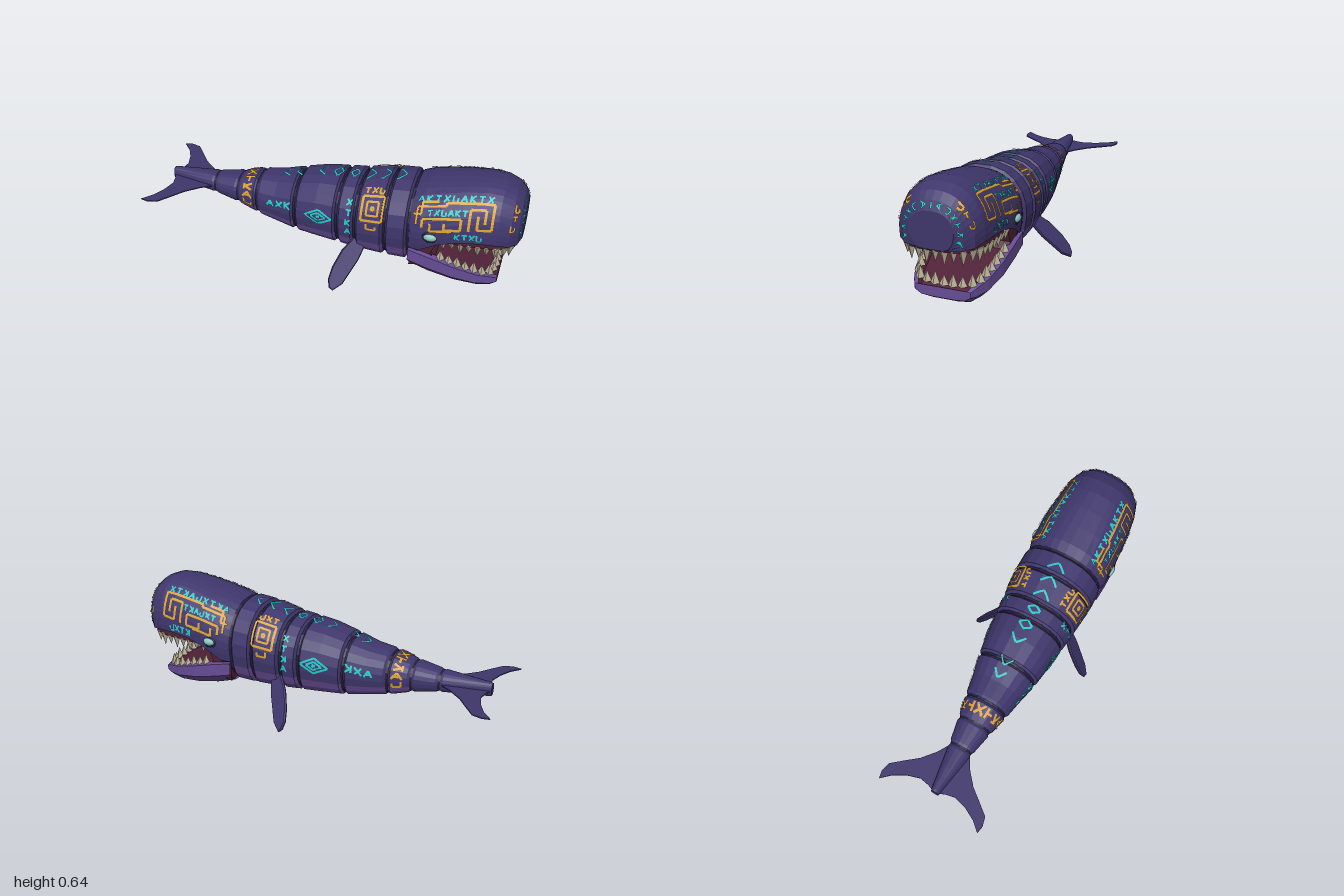
import * as THREE from 'three';

const mat = (name, color) => new THREE.MeshStandardMaterial({ name, color, side: THREE.DoubleSide });
const rad = THREE.MathUtils.degToRad;

// Body profile: x, top, bottom, half width
const BODY = [
  [-0.93, 0.355, 0.285, 0.022], [-0.67, 0.37, 0.262, 0.065], [-0.53, 0.393, 0.235, 0.093],
  [-0.41, 0.425, 0.198, 0.12], [-0.3, 0.44, 0.175, 0.142], [-0.185, 0.47, 0.157, 0.167],
  [-0.06, 0.503, 0.145, 0.188], [0.055, 0.515, 0.14, 0.2], [0.155, 0.525, 0.133, 0.21],
  [0.315, 0.56, 0.13, 0.226], [0.44, 0.572, 0.13, 0.224], [0.5, 0.585, 0.13, 0.23],
  [0.6, 0.606, 0.17, 0.232], [0.7, 0.625, 0.17, 0.226], [0.8, 0.64, 0.17, 0.216],
  [0.88, 0.637, 0.2, 0.205], [0.94, 0.613, 0.22, 0.185], [0.975, 0.58, 0.28, 0.15], [0.994, 0.535, 0.35, 0.108],
];
// Upper lip height and lower jaw profile (x, top, bottom, half width)
const LIP = [[0.445, 0.265], [0.52, 0.28], [0.58, 0.33], [0.65, 0.36], [0.75, 0.38], [0.9, 0.375], [0.994, 0.354]];
const JAW = [
  [0.445, 0.27, 0.135, 0.216], [0.55, 0.245, 0.1, 0.216], [0.68, 0.205, 0.072, 0.21],
  [0.8, 0.165, 0.056, 0.187], [0.87, 0.145, 0.058, 0.158], [0.9, 0.13, 0.077, 0.14],
];

function sample(table, x) {
  let i = 0;
  while (i < table.length - 2 && x > table[i + 1][0]) i++;
  const a = table[i], b = table[i + 1], t = (x - a[0]) / (b[0] - a[0]);
  return a.map((v, k) => v + (b[k] - v) * t);
}

// Point on the body skin; angle 0 is the +z flank, 90 degrees the back ridge; the underside is boxier
function skinPoint(x, angle, k = 1) {
  const [, top, bot, w] = sample(BODY, x), c = Math.cos(angle), s = Math.sin(angle);
  return new THREE.Vector3(x, (top + bot) / 2 + k * (top - bot) / 2 * s,
    k * w * Math.sign(c) * Math.abs(c) ** (s < 0 ? 0.55 : 0.85));
}

function flat(points) {
  const g = new THREE.BufferGeometry().setFromPoints(points);
  g.computeVertexNormals();
  return g;
}

// Skin over rows of points, with an optional flat cap on the last row
function loft(rows, cap = false) {
  const p = [];
  for (let i = 0; i < rows.length - 1; i++) for (let j = 0; j < rows[i].length - 1; j++) {
    const a = rows[i][j], b = rows[i + 1][j], c = rows[i + 1][j + 1], d = rows[i][j + 1];
    p.push(a, b, c, a, c, d);
  }
  const end = rows.at(-1);
  if (cap) for (let j = 1; j < end.length - 1; j++) p.push(end[0], end[j], end[j + 1]);
  return flat(p);
}

const arcRow = (x, a0, a1, n, k) => Array.from({ length: n + 1 }, (_, j) => skinPoint(x, a0 + (a1 - a0) * j / n, k));

// Painted strokes: thin ribbons that follow the skin; points are [x, degrees]
function stroke(out, pts, width = 0.011) {
  for (let i = 0; i < pts.length - 1; i++) {
    const edge = [];
    for (let s = 0; s <= 4; s++) {
      const t = s / 4, x = THREE.MathUtils.lerp(pts[i][0], pts[i + 1][0], t);
      const a = rad(THREE.MathUtils.lerp(pts[i][1], pts[i + 1][1], t));
      const at = skinPoint(x, a), e = 0.002;
      const dx = skinPoint(x + e, a).sub(skinPoint(x - e, a)), da = skinPoint(x, a + e).sub(skinPoint(x, a - e));
      const n = dx.clone().cross(da).normalize();
      const dir = dx.multiplyScalar((pts[i + 1][0] - pts[i][0]) / (2 * e))
        .addScaledVector(da, rad(pts[i + 1][1] - pts[i][1]) / (2 * e));
      const side = n.clone().cross(dir).normalize().multiplyScalar(width / 2);
      at.addScaledVector(n, 0.005);
      edge.push([at.clone().sub(side), at.clone().add(side)]);
    }
    for (let s = 0; s < 4; s++) {
      const [a, d] = edge[s], [b, c] = edge[s + 1];
      out.push(a, b, c, a, c, d);
    }
  }
}
const both = (out, pts, width) => {
  stroke(out, pts, width);
  stroke(out, pts.map(([x, a]) => [x, 180 - a]), width);
};

// Abstract angular marks in a unit square
const MARKS = [
  [[[-0.5, -0.5], [0, 0.5], [0.5, -0.5]], [[-0.2, -0.1], [0.3, -0.1]]],
  [[[-0.4, -0.5], [-0.4, 0.5]], [[0.4, 0.5], [-0.3, 0], [0.4, -0.5]]],
  [[[-0.5, 0.4], [0.5, 0.4]], [[0, 0.4], [0, -0.5]]],
  [[[-0.5, -0.5], [0.5, 0.5]], [[-0.4, 0.5], [0, 0], [0.4, -0.4]]],
  [[[-0.4, 0.5], [-0.4, -0.5], [0.4, -0.5], [0.4, 0.1]]],
];
function mark(out, i, x, angle, sx, sa, width = 0.009) {
  for (const line of MARKS[i % MARKS.length]) both(out, line.map(([u, v]) => [x + u * sx, angle + v * sa]), width);
}
const diamond = (x, a, sx, sa) => [[x - sx, a], [x, a + sa], [x + sx, a], [x, a - sa], [x - sx, a]];
const frame = (x, a, sx, sa) => [[x - sx, a - sa], [x - sx, a + sa], [x + sx, a + sa], [x + sx, a - sa], [x - sx, a - sa]];

export function createModel() {
  const model = new THREE.Group();
  const skin = mat('indigo skin', 0x3f366c), belly = mat('violet belly', 0x664c95), groove = mat('dark groove', 0x211c3a);
  const gum = mat('maroon mouth', 0x512137), ivory = mat('ivory teeth', 0xbdb299);
  const teal = mat('teal markings', 0x25c9c4), gold = mat('gold markings', 0xd99f2c), eyeMat = mat('pale eye', 0x8cc8c0);
  const add = (name, geo, m, parent = model) => {
    const mesh = new THREE.Mesh(geo, m);
    mesh.name = name;
    parent.add(mesh);
    return mesh;
  };

  // Banded body: dark core showing in the gaps between plated segments
  add('bodyCore', loft(BODY.filter(s => s[0] < 0.52).map(s => arcRow(s[0], 0, Math.PI * 2, 20, 0.94))), groove);
  const cuts = [-0.936, -0.67, -0.53, -0.41, -0.185, 0.055, 0.155, 0.315, 0.44];
  for (let i = 0; i < cuts.length - 1; i++) {
    const x0 = cuts[i] + 0.006, x1 = cuts[i + 1] - 0.006;
    const inner = BODY.map(s => s[0]).filter(x => x > x0 + 0.02 && x < x1 - 0.02);
    const xs = [[x0, 0.94], [x0 + 0.012, 1.01], ...inner.map(x => [x, 1]), [x1 - 0.012, 1.01], [x1, 0.94]];
    add('bodySegment', loft(xs.map(([x, k]) => arcRow(x, rad(-24), rad(204), 13, k))), skin);
    add('bellySegment', loft(xs.map(([x, k]) => arcRow(x, rad(204), rad(336), 8, k))), i < 2 ? skin : belly);
  }
  add('tailEnd', loft([arcRow(-0.925, 0, Math.PI * 2, 12, 0.01), arcRow(-0.93, 0, Math.PI * 2, 12, 0.95)]), skin);

  // Upper head, cut off along the lip
  const headRows = [0.447, ...BODY.map(s => s[0]).filter(x => x > 0.45)].map((x, i) => {
    const [, top, bot] = sample(BODY, x);
    const a = Math.asin(((top + bot) / 2 - sample(LIP, x)[1]) / ((top - bot) / 2));
    return arcRow(x, -a, Math.PI + a, 22, i === 0 ? 0.96 : 1);
  });
  add('upperHead', loft(headRows, true), skin);

  // Upper gum and palate
  const plan = [[0.5, 0.2], [0.7, 0.208], [0.85, 0.195], [0.93, 0.168], [0.965, 0.12], [0.978, 0.06]];
  const gumShape = new THREE.Shape([...plan, ...plan.slice().reverse().map(([x, z]) => [x, -z])].map(p => new THREE.Vector2(...p)));
  const gumGeo = new THREE.ExtrudeGeometry(gumShape, { depth: 0.05, bevelEnabled: false }).rotateX(Math.PI / 2);
  add('upperGum', gumGeo.translate(0, 0.392, 0), gum);

  // Throat and cheeks behind the open mouth
  const throat = new THREE.Shape([[0.45, 0.15], [0.6, 0.19], [0.56, 0.25], [0.585, 0.31], [0.68, 0.37], [0.45, 0.37]]
    .map(p => new THREE.Vector2(...p)));
  add('throat', new THREE.ExtrudeGeometry(throat, { depth: 0.39, bevelEnabled: false }).translate(0, 0, -0.195), gum);

  // Lower jaw trough with a maroon floor
  const jawSection = [[0.86, 1], [1, 0.94], [1, 0.45], [0.78, 0.08], [0.4, 0]];
  const jawRows = JAW.map(([x, top, bot, w]) => {
    const half = jawSection.map(([u, v]) => new THREE.Vector3(x, bot + (top - bot) * v, -w * u));
    return [...half, ...half.slice().reverse().map(p => new THREE.Vector3(p.x, p.y, -p.z))];
  });
  add('lowerJaw', loft(jawRows, true), belly);
  add('mouthFloor', loft(JAW.map(([x, top, , w]) =>
    [[0.87, 0], [0.75, -0.018], [-0.75, -0.018], [-0.87, 0]].map(([u, d]) => new THREE.Vector3(x, top + d, w * u)))), gum);

  // Rows of pointed teeth
  function teeth(name, half, count, length, dir) {
    const pts = [...half, ...half.slice(0, -1).reverse().map(([x, y, z]) => [x, y, -z])].map(p => new THREE.Vector3(...p));
    const row = new THREE.Group();
    row.name = name;
    new THREE.CatmullRomCurve3(pts).getSpacedPoints(count - 1).forEach((p, i) => {
      const len = length * (0.8 + 0.2 * Math.sin(Math.PI * i / (count - 1))) * (i % 2 ? 0.85 : 1.05);
      const cone = new THREE.ConeGeometry(0.024, len, 4).toNonIndexed();
      cone.computeVertexNormals();
      const tooth = add('tooth', cone, ivory, row);
      tooth.position.set(p.x, p.y + dir * len / 2, p.z);
      if (dir < 0) tooth.rotation.x = Math.PI;
    });
    model.add(row);
  }
  teeth('upperTeeth', [[0.62, 0.35, 0.195], [0.8, 0.35, 0.188], [0.92, 0.35, 0.158], [0.955, 0.35, 0.085], [0.962, 0.35, 0]], 23, 0.078, -1);
  teeth('lowerTeeth', [[0.61, 0.222, 0.187], [0.75, 0.176, 0.172], [0.85, 0.145, 0.14], [0.875, 0.138, 0.075], [0.88, 0.137, 0]], 19, 0.062, 1);

  for (const s of [1, -1]) {
    // Eye in a dark socket
    const socket = add('eyeSocket', new THREE.SphereGeometry(1, 10, 8), groove);
    socket.scale.set(0.044, 0.031, 0.012);
    socket.position.set(0.555, 0.372, s * 0.226);
    const eye = add('eye', new THREE.SphereGeometry(1, 10, 8), eyeMat);
    eye.scale.set(0.036, 0.022, 0.021);
    eye.position.set(0.558, 0.376, s * 0.227);

    // Paddle fin slanting down, out and back, twisted about its length
    const outline = [[0, -0.03], [0.1, -0.05], [0.2, -0.047], [0.265, -0.032], [0.298, -0.008], [0.302, 0.012], [0.25, 0.036], [0.1, 0.042], [0, 0.03]];
    const finGeo = new THREE.ExtrudeGeometry(new THREE.Shape(outline.map(p => new THREE.Vector2(...p))),
      { depth: 0.006, bevelThickness: 0.006, bevelSize: 0.005, bevelSegments: 1 }).translate(0, 0, -0.003);
    const a = new THREE.Vector3(-0.1, -0.2, s * 0.16).normalize();
    const b = new THREE.Vector3(1, 0, 0).addScaledVector(a, -a.x).normalize().applyAxisAngle(a, -s * rad(20));
    finGeo.applyMatrix4(new THREE.Matrix4().makeBasis(a, b, a.clone().cross(b)).setPosition(0.187, 0.233, s * 0.168));
    add(s > 0 ? 'rightFin' : 'leftFin', finGeo, skin);
  }

  // Tail flukes
  const fluke = [[-0.68, 0.06], [-0.74, 0.095], [-0.81, 0.155], [-0.865, 0.225], [-0.91, 0.28], [-0.96, 0.293], [-1, 0.285],
    [-0.955, 0.235], [-0.92, 0.17], [-0.9, 0.1], [-0.91, 0.05]];
  const flukeShape = new THREE.Shape([...fluke, [-0.93, 0], ...fluke.slice().reverse().map(([x, z]) => [x, -z])].map(p => new THREE.Vector2(...p)));
  add('tailFlukes', new THREE.ExtrudeGeometry(flukeShape, { depth: 0.006, bevelEnabled: false })
    .rotateX(Math.PI / 2).translate(0, 0.318, 0), skin);

  // Teal markings: ridge chevrons, flank marks, diamonds, head rows and nose ring
  const t = [], g = [];
  for (const [x, d] of [[-0.26, -1], [-0.19, -1], [-0.065, -1], [0.2, 1], [0.28, 1], [0.36, 1]])
    stroke(t, [[x - d * 0.02, 81], [x + d * 0.02, 90], [x - d * 0.02, 99]]);
  stroke(t, diamond(0.02, 90, 0.025, 8));
  stroke(t, diamond(0.11, 90, 0.022, 7));
  for (let i = 0; i < 3; i++) mark(t, i * 3, -0.32 + i * 0.052, 11 + i * 2, 0.04, 15, 0.011);
  both(t, diamond(-0.04, 6, 0.075, 13));
  both(t, diamond(-0.04, 6, 0.042, 7));
  both(t, diamond(-0.04, 6, 0.01, 2));
  for (let i = 0; i < 4; i++) mark(t, i, 0.127, -8 + i * 16, 0.032, 10);
  for (let i = 0; i < 9; i++) mark(t, i, 0.49 + i * 0.042, 54, 0.028, 9);
  for (let i = 0; i < 6; i++) mark(t, i + 2, 0.545 + i * 0.034, 35, 0.025, 8);
  for (let i = 0; i < 4; i++) mark(t, i + 1, 0.69 + i * 0.035, 2.5, 0.028, 9);
  for (let i = 0; i < 6; i++) mark(t, i, 0.983, -16 + i * 18.5, 0.013, 10, 0.008);
  stroke(t, [[0.978, 90], [0.99, 90]], 0.008);
  add('tealMarkings', flat(t), teal);

  // Gold markings: tail band, flank squares, head maze and brow
  for (let i = 0; i < 5; i++) mark(g, i + 4, -0.463, -10 + i * 25, 0.055, 18, 0.012);
  both(g, frame(0.25, 34, 0.056, 18), 0.013);
  both(g, frame(0.25, 34, 0.03, 10));
  both(g, diamond(0.25, 34, 0.01, 3));
  for (let i = 0; i < 3; i++) mark(g, i + 2, 0.21 + i * 0.038, 61, 0.028, 9, 0.01);
  mark(g, 4, 0.25, 7, 0.06, 8, 0.011);
  both(g, [[0.48, 20], [0.48, 44], [0.62, 44], [0.62, 48], [0.85, 48], [0.85, 14], [0.78, 14], [0.78, 32]], 0.013);
  both(g, [[0.51, 16], [0.51, 27], [0.7, 27], [0.7, 12], [0.62, 12], [0.62, 21]], 0.013);
  both(g, [[0.55, 21], [0.55, 10], [0.66, 10]], 0.013);
  both(g, [[0.74, 12], [0.74, 40], [0.815, 40], [0.815, 22]], 0.013);
  both(g, [[0.46, 34], [0.5, 34], [0.5, 50], [0.58, 50]], 0.013);
  mark(g, 4, 0.953, 50, 0.02, 13, 0.013);
  mark(g, 2, 0.95, 33, 0.02, 9, 0.01);
  mark(g, 4, 0.945, 18, 0.02, 10, 0.01);
  add('goldMarkings', flat(g), gold);

  return model;
}
